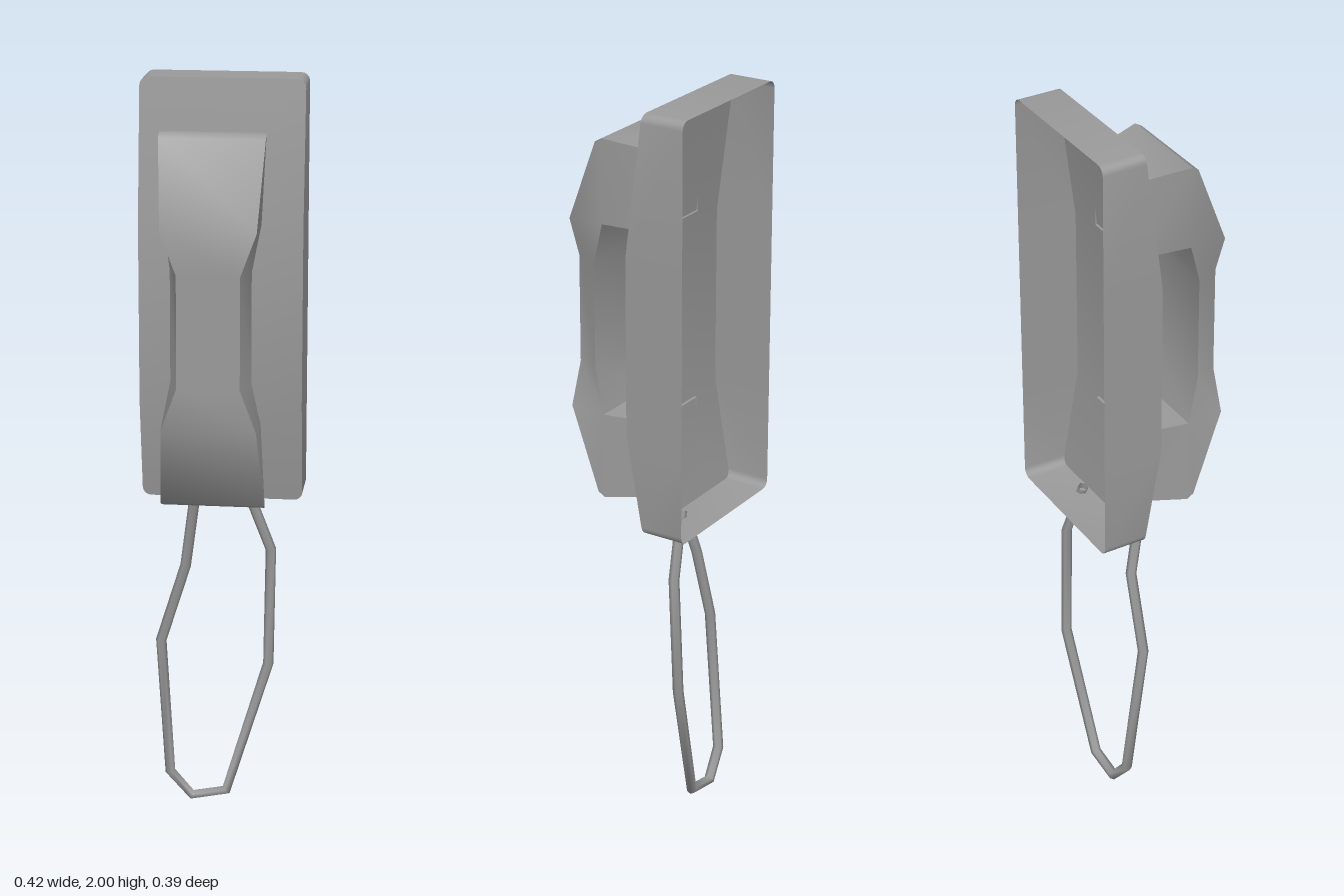
import * as THREE from 'three';
import { toCreasedNormals } from 'three/addons/utils/BufferGeometryUtils.js';

const material = new THREE.MeshStandardMaterial({ color: 0x9a9a9a, side: THREE.DoubleSide });

// Mesh from a list of polygons, each an array of [x, y, z] corners in counterclockwise order
function polyMesh(name, polygons, crease) {
  const pos = [];
  for (const p of polygons)
    for (let i = 1; i < p.length - 1; i++) pos.push(...p[0], ...p[i], ...p[i + 1]);
  const geometry = new THREE.BufferGeometry();
  geometry.setAttribute('position', new THREE.Float32BufferAttribute(pos, 3));
  geometry.computeVertexNormals();
  const mesh = new THREE.Mesh(toCreasedNormals(geometry, crease), material);
  mesh.name = name;
  return mesh;
}

// Wall base: a shell with rounded corners and a bent front, open at the back
function createBase() {
  const W = 0.212, Y0 = 0.889, Y1 = 2, R = 0.022, BACK = -0.198, STEPS = 4;
  const frontZ = y => y > 1.63 ? -0.034 - (y - 1.63) / 0.37 * 0.048
    : y < 1.16 ? -0.034 - (1.16 - y) / 0.271 * 0.048 : -0.034;
  const rows = [];
  for (let i = 0; i <= STEPS; i++) {
    const a = i / STEPS * Math.PI / 2;
    rows.push([Y0 + R - R * Math.cos(a), W - R + R * Math.sin(a)]);
  }
  rows.push([1.16, W], [1.63, W]);
  for (let i = STEPS; i >= 0; i--) {
    const a = i / STEPS * Math.PI / 2;
    rows.push([Y1 - R + R * Math.cos(a), W - R + R * Math.sin(a)]);
  }
  const front = (row, s) => [s * row[1], row[0], frontZ(row[0])];
  const back = (row, s) => [s * row[1], row[0], BACK];
  const polys = [];
  for (let i = 0; i < rows.length - 1; i++) {
    const a = rows[i], b = rows[i + 1];
    polys.push([front(a, -1), front(a, 1), front(b, 1), front(b, -1)]);
    polys.push([front(a, 1), back(a, 1), back(b, 1), front(b, 1)]);
    polys.push([back(a, -1), front(a, -1), front(b, -1), back(b, -1)]);
  }
  const lo = rows[0], hi = rows[rows.length - 1];
  polys.push([front(lo, -1), back(lo, -1), back(lo, 1), front(lo, 1)]);
  polys.push([front(hi, -1), front(hi, 1), back(hi, 1), back(hi, -1)]);
  return polyMesh('wallBase', polys, 0.5);
}

// Handset: side profile points [z, y, half width], waisted at the grip, open where it meets the base
function createHandset() {
  const outer = [
    [-0.044, 1.87, 0.1], [0.09, 1.89, 0.134], [0.109, 1.879, 0.134], [0.197, 1.66, 0.121], [0.197, 1.55, 0.08],
    [0.197, 1.26, 0.08], [0.197, 1.15, 0.121], [0.109, 0.931, 0.134], [0.09, 0.92, 0.134], [-0.044, 0.94, 0.1]];
  const inner = [
    [-0.044, 1.66, 0.1], [0.098, 1.663, 0.123], [0.136, 1.55, 0.103],
    [0.136, 1.263, 0.103], [0.098, 1.147, 0.123], [-0.044, 1.149, 0.1]];
  const at = (p, s) => [s * p[2], p[1], p[0]];
  const polys = [];
  // Bands along the outer and the inner side of the profile
  for (const line of [outer, inner.slice().reverse()])
    for (let i = 0; i < line.length - 1; i++)
      polys.push([at(line[i], -1), at(line[i + 1], -1), at(line[i + 1], 1), at(line[i], 1)]);
  // Both cheeks
  const [A, B] = [outer, inner];
  const cheeks = [
    [A[0], A[1], B[1], B[0]], [A[1], A[2], B[1]], [A[2], A[3], B[1]],
    [A[3], A[4], B[2], B[1]], [A[4], A[5], B[3], B[2]], [A[5], A[6], B[4], B[3]],
    [A[6], A[7], B[4]], [A[7], A[8], B[4]], [A[8], A[9], B[5], B[4]]];
  for (const c of cheeks) {
    polys.push(c.map(p => at(p, 1)));
    polys.push(c.map(p => at(p, -1)).reverse());
  }
  const mesh = polyMesh('handset', polys, 0.76);
  mesh.position.x = -0.005;
  return mesh;
}

// Straight-segment path with mitred joints
class Polyline extends THREE.Curve {
  constructor(points) { super(); this.points = points; }
  getPoint(t) {
    const n = this.points.length - 1, i = Math.min(Math.floor(t * n + 1e-6), n - 1);
    return this.points[i].clone().lerp(this.points[i + 1], t * n - i);
  }
  getPointAt(t) { return this.getPoint(t); }
  getTangentAt(t) {
    const n = this.points.length - 1, i = Math.round(t * n), p = this.points;
    const dir = (a, b) => p[b].clone().sub(p[a]).normalize();
    const v = new THREE.Vector3();
    if (i > 0) v.add(dir(i - 1, i));
    if (i < n) v.add(dir(i, i + 1));
    return v.normalize();
  }
}

// Cord hanging in a loop from the handset to the base
function createCord() {
  const points = [
    [-0.058, 0.95, 0.008], [-0.095, 0.705, -0.053], [-0.162, 0.49, -0.055], [-0.145, 0.09, -0.096],
    [-0.086, 0.018, -0.104], [0.008, 0.036, -0.106], [0.12, 0.405, -0.132], [0.126, 0.735, -0.122],
    [0.064, 0.905, -0.105]].map(p => new THREE.Vector3(...p));
  const geometry = new THREE.TubeGeometry(new Polyline(points), points.length - 1, 0.0142, 6);
  const mesh = new THREE.Mesh(geometry, material);
  mesh.name = 'cord';
  return mesh;
}

export function createModel() {
  const group = new THREE.Group();
  group.name = 'wallTelephone';
  group.add(createBase(), createHandset(), createCord());
  return group;
}
